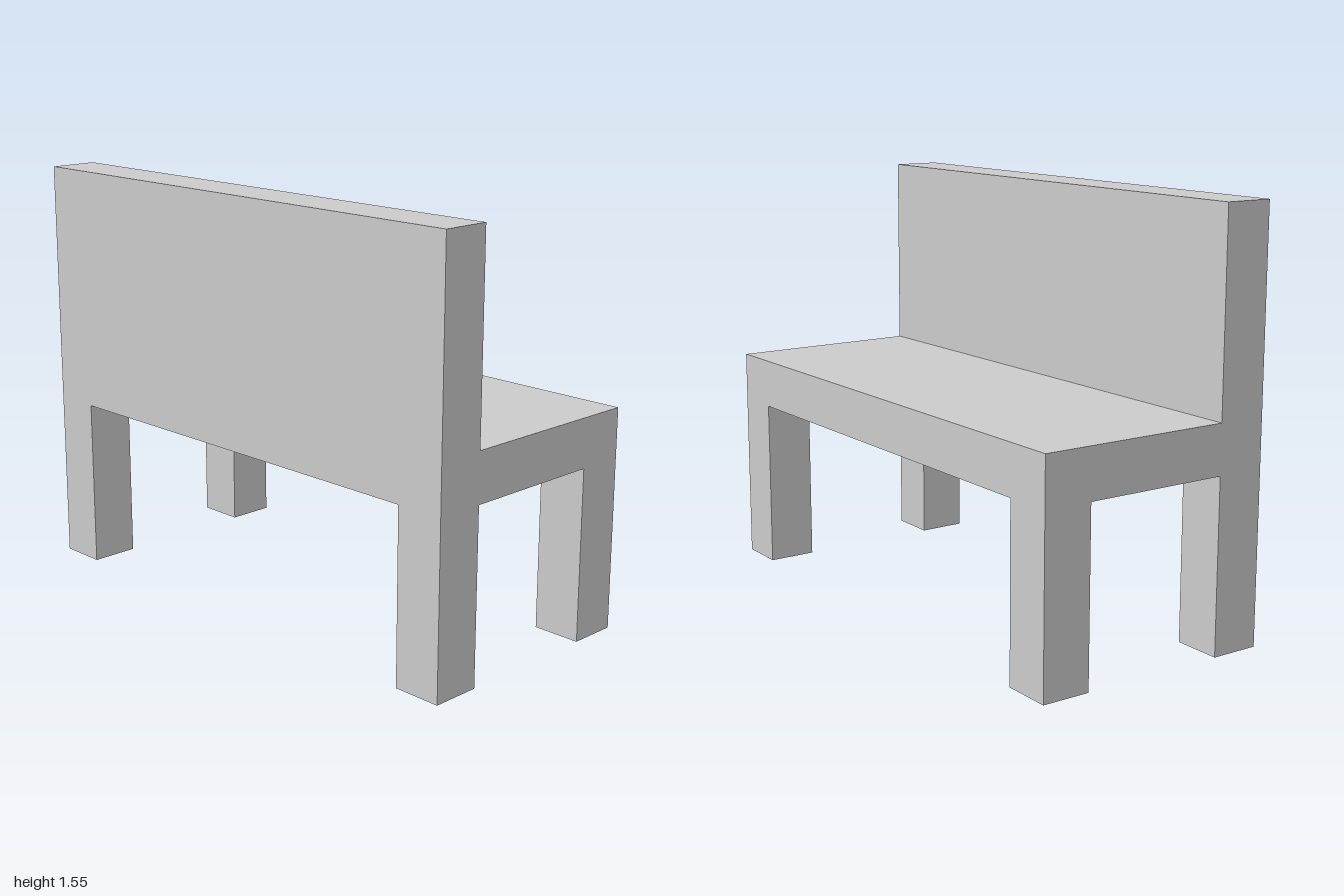
import * as THREE from 'three';

const U = 1 / 11;            // module the bench is laid out on
const HALF_W = 5 * U;        // half depth of the seat (x)
const HALF_L = 1;            // half length of the bench (z)
const T = 2 * U;             // thickness of legs, seat and backrest
const LEG_H = 7 * U;
const SEAT_TOP = LEG_H + T;
const TOP = 17 * U;

export function createModel() {
  const group = new THREE.Group();
  group.name = 'bench';
  const material = new THREE.MeshStandardMaterial({ color: 0xcccccc, flatShading: true });

  // Seat and backrest: one L-shaped profile run along the length
  const profile = new THREE.Shape([
    [-HALF_W, LEG_H], [HALF_W, LEG_H], [HALF_W, SEAT_TOP],
    [-HALF_W + T, SEAT_TOP], [-HALF_W + T, TOP], [-HALF_W, TOP],
  ].map(([x, y]) => new THREE.Vector2(x, y)));
  const bodyGeometry = new THREE.ExtrudeGeometry(profile, { depth: 2 * HALF_L, bevelEnabled: false });
  bodyGeometry.translate(0, 0, -HALF_L);
  const body = new THREE.Mesh(bodyGeometry, material);
  body.name = 'seatAndBackrest';
  group.add(body);

  // Four square legs flush with the corners
  const legGeometry = new THREE.BoxGeometry(T, LEG_H, T);
  for (const sx of [-1, 1]) {
    for (const sz of [-1, 1]) {
      const leg = new THREE.Mesh(legGeometry, material);
      leg.name = `${sx < 0 ? 'backrestSide' : 'seatSide'}${sz < 0 ? 'Rear' : 'Front'}Leg`;
      leg.position.set(sx * (HALF_W - T / 2), LEG_H / 2, sz * (HALF_L - T / 2));
      group.add(leg);
    }
  }
  return group;
}
